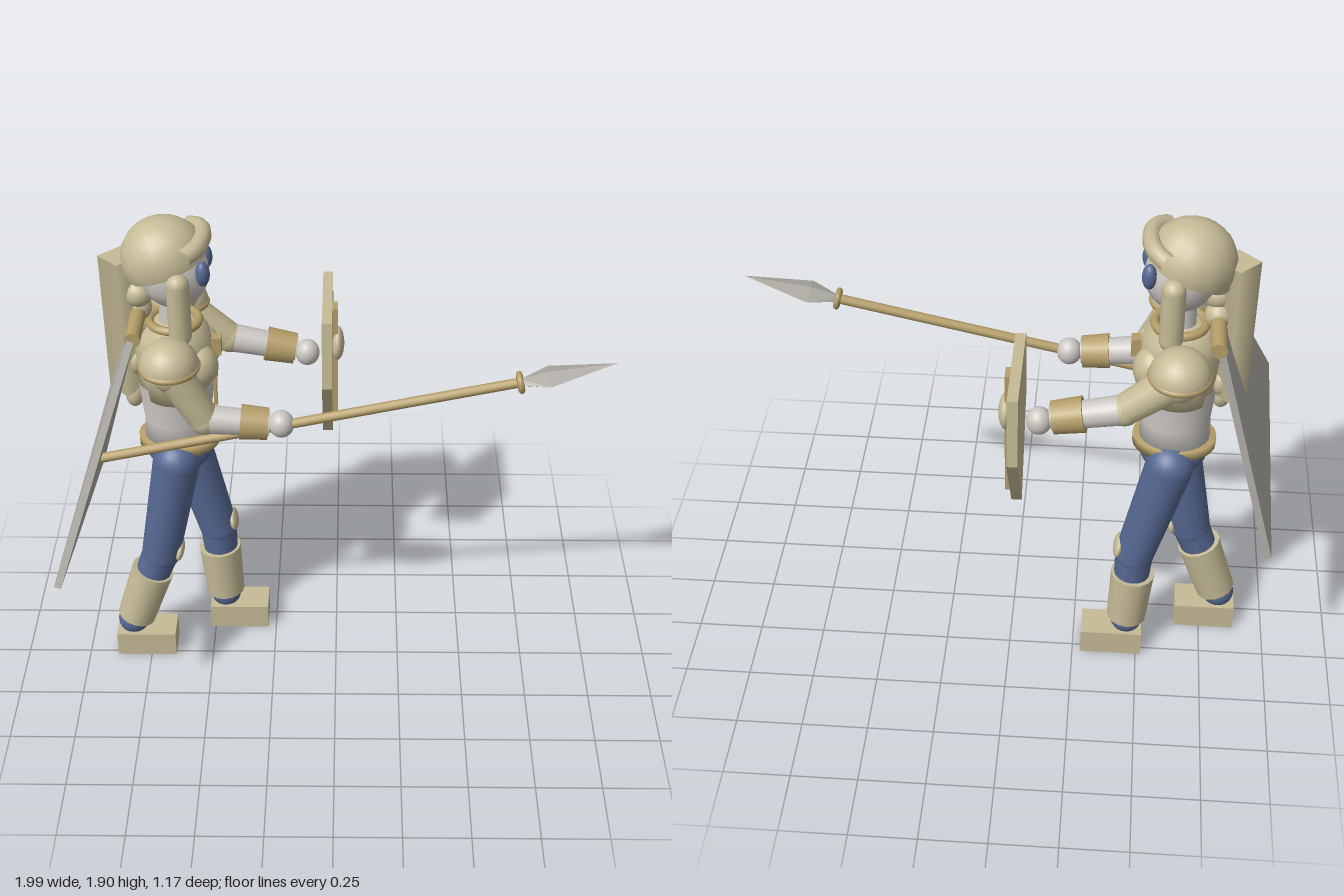
import * as THREE from 'three';
import { ConvexGeometry } from 'three/addons/geometries/ConvexGeometry.js';

export function createModel() {
  const model = new THREE.Group();
  model.name = 'spearFighter';
  const material = (name, color) => {
    const m = new THREE.MeshStandardMaterial({ color });
    m.name = name;
    return m;
  };
  const tan = material('tan', 0xc6bb97);
  const leather = material('leather', 0xb59e69);
  const denim = material('denim', 0x566892);
  const skin = material('pale skin', 0xcbc7c3);
  const steel = material('steel', 0xaeaba5);
  const V = (x, y, z) => new THREE.Vector3(x, y, z);
  const MID = -0.13; // body's centre plane in z

  const add = (name, geometry, mat, pos = [0, 0, 0], scale = [1, 1, 1]) => {
    const mesh = new THREE.Mesh(geometry, mat);
    mesh.name = name;
    mesh.position.set(...pos);
    mesh.scale.set(...scale);
    model.add(mesh);
    return mesh;
  };
  const ball = (name, pos, radii, mat) =>
    add(name, new THREE.SphereGeometry(1, 20, 14), mat, pos, radii);
  const box = (name, pos, size, mat) => add(name, new THREE.BoxGeometry(...size), mat, pos);
  // Round bar between two points
  const limb = (name, a, b, ra, rb, mat, sides = 16) => {
    const p = V(...a), q = V(...b), d = q.clone().sub(p);
    const mesh = add(name, new THREE.CylinderGeometry(rb, ra, d.length(), sides), mat,
      p.clone().add(q).multiplyScalar(0.5).toArray());
    mesh.quaternion.setFromUnitVectors(V(0, 1, 0), d.normalize());
    return mesh;
  };
  const ring = (name, pos, radius, tube, mat) => {
    const mesh = add(name, new THREE.TorusGeometry(radius, tube, 8, 28), mat, pos);
    mesh.rotation.x = Math.PI / 2;
    return mesh;
  };
  const lathe = (name, points, mat, pos, scale) =>
    add(name, new THREE.LatheGeometry(points.map(p => new THREE.Vector2(...p)), 24), mat, pos, scale);

  // Legs: back leg, then stepping front leg
  const legs = [
    { z: -0.045, hip: [-0.605, 0.92], knee: [-0.69, 0.48], top: [-0.727, 0.393], low: [-0.807, 0.16], ankle: [-0.82, 0.14], foot: -0.767, patch: [-0.615, 0.495] },
    { z: -0.22, hip: [-0.585, 0.92], knee: [-0.475, 0.48], top: [-0.473, 0.38], low: [-0.457, 0.155], ankle: [-0.457, 0.14], foot: -0.4, patch: [-0.412, 0.515] },
  ];
  for (const l of legs) {
    const at = p => [...p, l.z];
    ball('hip', at(l.hip), [0.09, 0.09, 0.09], denim);
    limb('thigh', at(l.hip), at(l.knee), 0.09, 0.075, denim);
    ball('knee', at(l.knee), [0.075, 0.075, 0.075], denim);
    limb('shin', at(l.knee), at(l.ankle), 0.073, 0.058, denim);
    ball('ankle', at(l.ankle), [0.062, 0.062, 0.062], denim);
    limb('shinGuard', at(l.top), at(l.low), 0.084, 0.076, tan);
    ball('kneePatch', at(l.patch), [0.018, 0.042, 0.056], tan).rotation.z = l.z < -0.1 ? 0.2 : -0.2;
    box('foot', [l.foot, 0.0525, l.z], [0.236, 0.105, 0.132], tan);
  }

  // Torso
  ball('pelvis', [-0.597, 0.935, MID], [0.125, 0.09, 0.125], denim);
  lathe('waist', [[0, 0.95], [0.125, 0.95], [0.12, 1.08], [0.135, 1.24]], skin, [-0.597, 0, MID], [1.05, 1, 0.92]);
  lathe('belt', [[0, 0.96], [0.15, 0.96], [0.15, 1], [0, 1]], leather, [-0.597, 0, MID], [1.02, 1, 0.83]);
  lathe('breastplate', [[0, 1.19], [0.128, 1.19], [0.138, 1.28], [0.147, 1.38], [0.135, 1.45], [0.09, 1.49], [0, 1.5]],
    tan, [-0.597, 0, MID], [0.98, 1, 1]);
  for (const s of [-1, 1]) ball('chestPlate', [-0.505, 1.335, MID + s * 0.065], [0.075, 0.085, 0.075], tan);
  box('chestBuckle', [-0.44, 1.385, MID], [0.035, 0.07, 0.045], leather);
  for (const s of [-1, 1]) box('lace', [-0.452, 1.19, MID + s * 0.014], [0.012, 0.15, 0.012], leather);
  box('laceKnot', [-0.452, 1.255, MID], [0.02, 0.025, 0.045], leather);
  ring('collar', [-0.59, 1.49, MID], 0.09, 0.017, leather);
  limb('neck', [-0.597, 1.46, MID], [-0.59, 1.6, MID], 0.05, 0.05, skin);

  // Head and eyes
  ball('head', [-0.58, 1.69, MID], [0.127, 0.137, 0.115], skin);
  for (const s of [-1, 1])
    ball('eye', [-0.472, 1.715, MID + s * 0.066], [0.026, 0.048, 0.028], denim).rotation.y = -s * 0.35;

  // Hair: cap, fringe, side locks, braid and back tail
  const hair = tan.clone();
  hair.name = 'hair tan';
  hair.side = THREE.DoubleSide;
  add('hairCap', new THREE.SphereGeometry(1, 16, 8, 0, Math.PI * 2, 0, Math.PI * 0.55), hair,
    [-0.612, 1.745, MID], [0.158, 0.155, 0.147]).rotation.z = 0.35;
  const sweep = new THREE.CatmullRomCurve3([
    V(-0.53, 1.81, 0), V(-0.487, 1.826, -0.05), V(-0.472, 1.83, MID), V(-0.487, 1.826, -0.21), V(-0.53, 1.81, -0.26)]);
  add('fringe', new THREE.TubeGeometry(sweep, 20, 0.032, 10), tan);
  for (const s of [-1, 1])
    add('sideLock', new THREE.CapsuleGeometry(0.042, 0.2, 6, 14), tan, [-0.555, 1.607, MID + s * 0.135]);
  for (let i = 0; i < 8; i++) {
    const r = 0.056 - i * 0.003;
    ball('braidKnot', [-0.705 - i * 0.007, 1.68 - i * 0.072, MID + (i % 2 ? 0.012 : -0.012)], [r, 0.052, r], tan);
  }
  add('hairTail', new THREE.CylinderGeometry(0.075, 0.07, 0.55, 4).toNonIndexed(), tan, [-0.775, 1.475, MID]);

  // Arms: spear arm, then shield arm
  const arms = [
    { z: 0.095, elbow: [-0.475, 1.205], wrist: [-0.24, 1.185], hand: [-0.197, 1.185] },
    { z: -0.365, elbow: [-0.41, 1.275], wrist: [-0.155, 1.225], hand: [-0.113, 1.21] },
  ];
  for (const a of arms) {
    const s = a.z > 0 ? 1 : -1;
    const at = p => [...p, a.z];
    const along = t => [0, 1].map(i => a.elbow[i] + (a.wrist[i] - a.elbow[i]) * t);
    add('pauldron', new THREE.SphereGeometry(1, 24, 8, 0, Math.PI * 2, 0, Math.PI / 2), hair,
      [-0.592, 1.43, a.z], [0.108, 0.103, 0.108]);
    ring('pauldronRim', [-0.592, 1.432, a.z], 0.1, 0.013, leather).rotation.x += s * 0.06;
    ball('shoulder', [-0.592, 1.4, a.z], [0.07, 0.07, 0.07], tan);
    limb('upperArm', [-0.592, 1.42, a.z], at(a.elbow), 0.07, 0.057, tan);
    ball('elbow', at(a.elbow), [0.058, 0.058, 0.058], tan);
    limb('forearm', at(a.elbow), at(a.wrist), 0.055, 0.046, skin);
    limb('bracer', at(along(0.55)), at(along(0.98)), 0.066, 0.06, leather);
    ball('hand', at(a.hand), [0.047, 0.052, 0.047], skin);
  }

  // Shield: outline drawn in z and y, extruded along x
  const outline = new THREE.Shape([[0.176, 1.446], [0.15, 1.176], [0.368, 0.844], [0.588, 1.176], [0.574, 1.446]]
    .map(p => new THREE.Vector2(...p)));
  add('shield', new THREE.ExtrudeGeometry(outline, { depth: 0.038, bevelEnabled: false }), tan, [-0.054, 0, 0])
    .rotation.y = Math.PI / 2;
  box('shieldBar', [-0.006, 1.165, -0.368], [0.022, 0.5, 0.06], leather);
  ball('shieldBoss', [0.003, 1.25, -0.368], [0.026, 0.065, 0.065], tan);

  // Spear
  const z = 0.1, butt = V(-0.875, 1.03, z), neck = V(0.66, 1.372, z), tip = V(1, 1.455, z);
  limb('spearShaft', butt.toArray(), neck.toArray(), 0.018, 0.018, leather, 12);
  const collar = add('spearCollar', new THREE.TorusGeometry(0.03, 0.012, 8, 20), leather, neck.toArray());
  collar.quaternion.setFromUnitVectors(V(0, 0, 1), neck.clone().sub(butt).normalize());
  const wide = V(0.76, 1.397, z);
  const blade = [tip];
  for (const s of [-1, 1]) {
    blade.push(wide.clone().add(V(0, 0, s * 0.073)), wide.clone().add(V(-s * 0.004, s * 0.02, 0)));
    blade.push(neck.clone().add(V(0, 0, s * 0.02)), neck.clone().add(V(0, s * 0.014, 0)));
  }
  add('spearBlade', new ConvexGeometry(blade), steel);

  // Cape hanging from a shoulder rod
  const corners = [V(-0.722, 1.53, 0.08), V(-0.722, 1.53, -0.345), V(-0.977, 0.81, 0.585), V(-0.955, 0.668, -0.425)];
  const cape = corners.flatMap(c => [c.clone().add(V(0.011, -0.004, 0)), c.clone().add(V(-0.013, 0.005, 0))]);
  add('cape', new ConvexGeometry(cape), steel);
  limb('capeRod', [-0.718, 1.527, 0.085], [-0.718, 1.527, -0.35], 0.029, 0.029, leather);

  return model;
}
